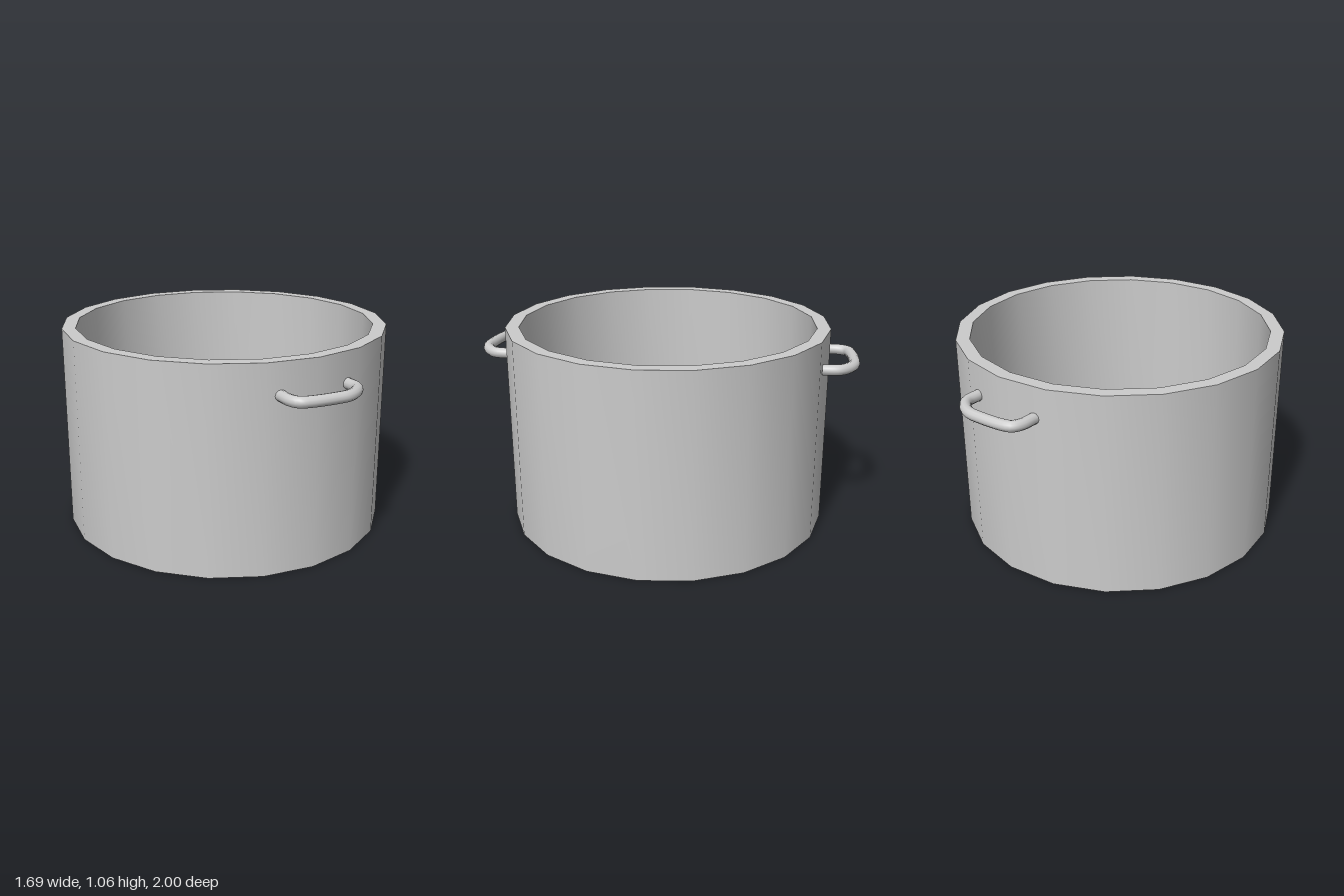
import * as THREE from 'three';
import { toCreasedNormals } from 'three/addons/utils/BufferGeometryUtils.js';

const SIDES = 20;
const OUTER = 0.845, INNER = 0.775, HEIGHT = 1.06;
const material = new THREE.MeshStandardMaterial({ color: 0xcccccc });

function addMesh(parent, name, geometry) {
  const mesh = new THREE.Mesh(geometry, material);
  mesh.name = name;
  parent.add(mesh);
  return mesh;
}

// Bent rod handle; side is +1 for the front and -1 for the back
function createHandle(side) {
  const handle = new THREE.Group();
  const radius = 0.028;
  const path = [
    [-0.19, 0.81], [-0.192, 0.89], [-0.172, 0.935], [-0.12, 0.955],
    [0, 0.97], [0.07, 0.97], [0.13, 0.945], [0.178, 0.895], [0.187, 0.81],
  ].map(([x, z]) => new THREE.Vector3(x, 0.9, z * side));
  const curve = new THREE.CatmullRomCurve3(path);
  addMesh(handle, 'handleRod', new THREE.TubeGeometry(curve, 40, radius, 12));

  // Flat caps close the rod ends against the wall
  for (const end of [path[0], path[path.length - 1]]) {
    const cap = addMesh(handle, 'handleEnd', new THREE.CircleGeometry(radius, 12));
    cap.position.copy(end);
    if (side > 0) cap.rotation.y = Math.PI;
  }
  return handle;
}

export function createModel() {
  const pot = new THREE.Group();
  pot.name = 'cookingPot';

  // Thick wall: outside, rim, inside and foot ring in one closed profile
  const profile = [
    [OUTER, 0], [OUTER, HEIGHT], [INNER, HEIGHT], [INNER, 0], [OUTER, 0],
  ].map(([r, y]) => new THREE.Vector2(r, y));
  addMesh(pot, 'wall', toCreasedNormals(new THREE.LatheGeometry(profile, SIDES), Math.PI / 4));

  // Thin floor plate, set slightly above the foot ring
  const floor = addMesh(pot, 'floor', new THREE.CylinderGeometry(INNER, INNER, 0.01, SIDES));
  floor.position.y = 0.016;

  const front = createHandle(1);
  front.name = 'frontHandle';
  const back = createHandle(-1);
  back.name = 'backHandle';
  pot.add(front, back);
  return pot;
}
